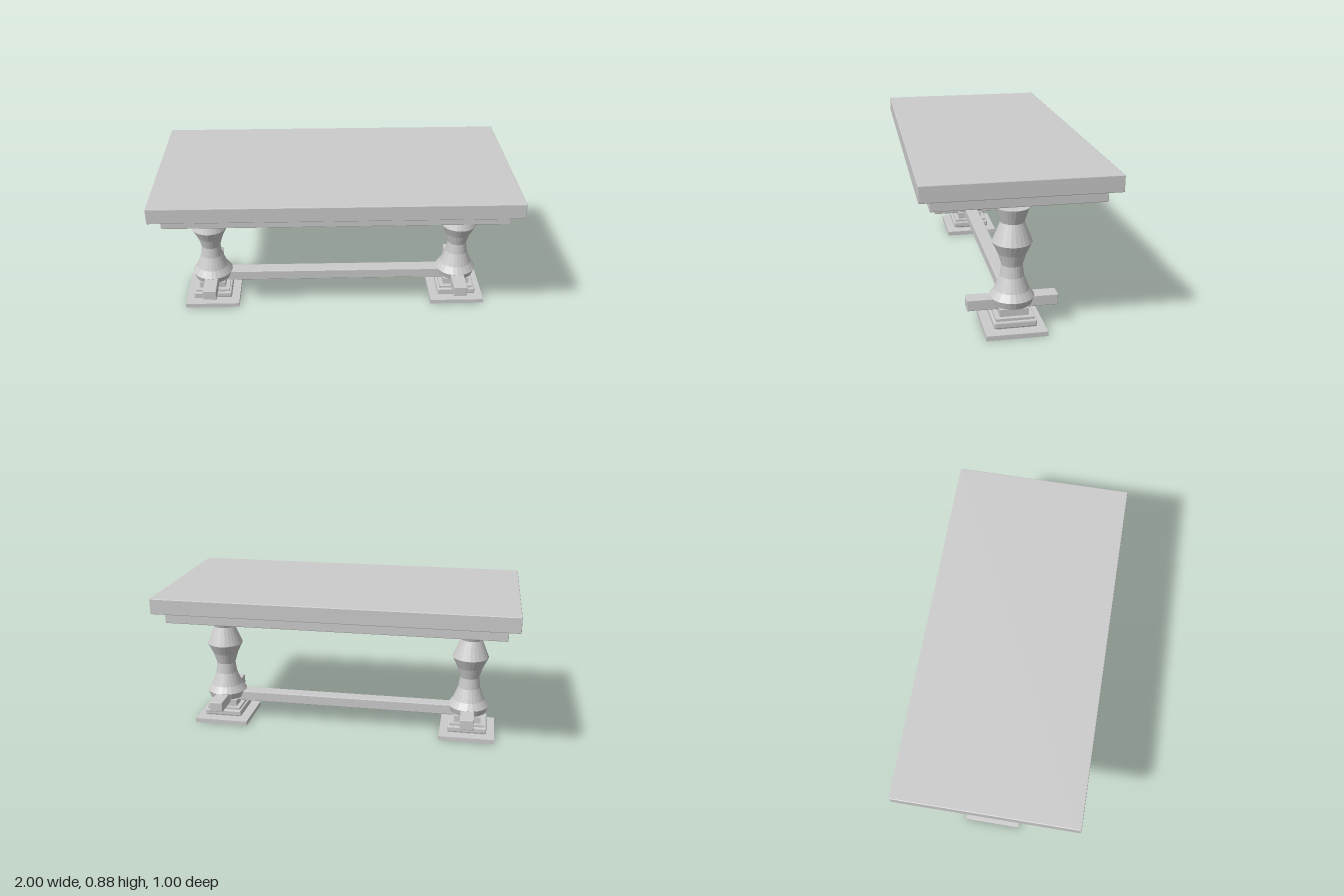
import * as THREE from 'three';
import { RoundedBoxGeometry } from 'three/addons/geometries/RoundedBoxGeometry.js';

const material = new THREE.MeshStandardMaterial({ color: 0xcccccc, flatShading: true });

// Box between heights y0 and y1, with an optional small edge bevel
function slab(name, width, depth, y0, y1, bevel = 0) {
  const h = y1 - y0;
  const geometry = bevel
    ? new RoundedBoxGeometry(width, h, depth, 1, bevel)
    : new THREE.BoxGeometry(width, h, depth);
  const mesh = new THREE.Mesh(geometry, material);
  mesh.name = name;
  mesh.position.y = (y0 + y1) / 2;
  return mesh;
}

// Turned column profile: radius, height
const columnProfile = [
  [0, 0.138], [0.107, 0.138], [0.12, 0.177], [0.093, 0.215], [0.064, 0.29],
  [0.056, 0.353], [0.075, 0.416], [0.106, 0.48], [0.062, 0.588], [0.09, 0.67], [0, 0.67],
].map(([r, y]) => new THREE.Vector2(r, y));

function createPedestal(name) {
  const pedestal = new THREE.Group();
  pedestal.name = name;

  // Stepped foot
  pedestal.add(
    slab('footPlate', 0.324, 0.324, 0, 0.026),
    slab('footBlock', 0.204, 0.204, 0.03, 0.088),
    slab('footBand', 0.23, 0.23, 0.036, 0.074, 0.008),
    slab('footNeck', 0.156, 0.156, 0.088, 0.127),
  );

  // Turned column
  const column = new THREE.Mesh(new THREE.LatheGeometry(columnProfile, 24), material);
  column.name = 'column';
  pedestal.add(column);

  // Bar running front to back through the column base
  pedestal.add(slab('crossBar', 0.08, 0.488, 0.115, 0.176, 0.004));

  // Stepped capital below the apron
  pedestal.add(
    slab('capitalLower', 0.176, 0.23, 0.692, 0.727),
    slab('capitalUpper', 0.198, 0.254, 0.703, 0.728),
  );
  return pedestal;
}

export function createModel() {
  const table = new THREE.Group();
  table.name = 'table';

  // Top and apron
  table.add(
    slab('tableTop', 2, 1, 0.795, 0.883, 0.004),
    slab('apron', 1.88, 0.884, 0.729, 0.79, 0.004),
  );

  // Two mirrored pedestals
  for (const side of [-1, 1]) {
    const pedestal = createPedestal(side > 0 ? 'leftPedestal' : 'rightPedestal');
    pedestal.position.x = side * 0.747;
    table.add(pedestal);
  }

  // Long stretcher between the pedestals
  table.add(slab('stretcher', 1.46, 0.08, 0.115, 0.176, 0.004));
  return table;
}
